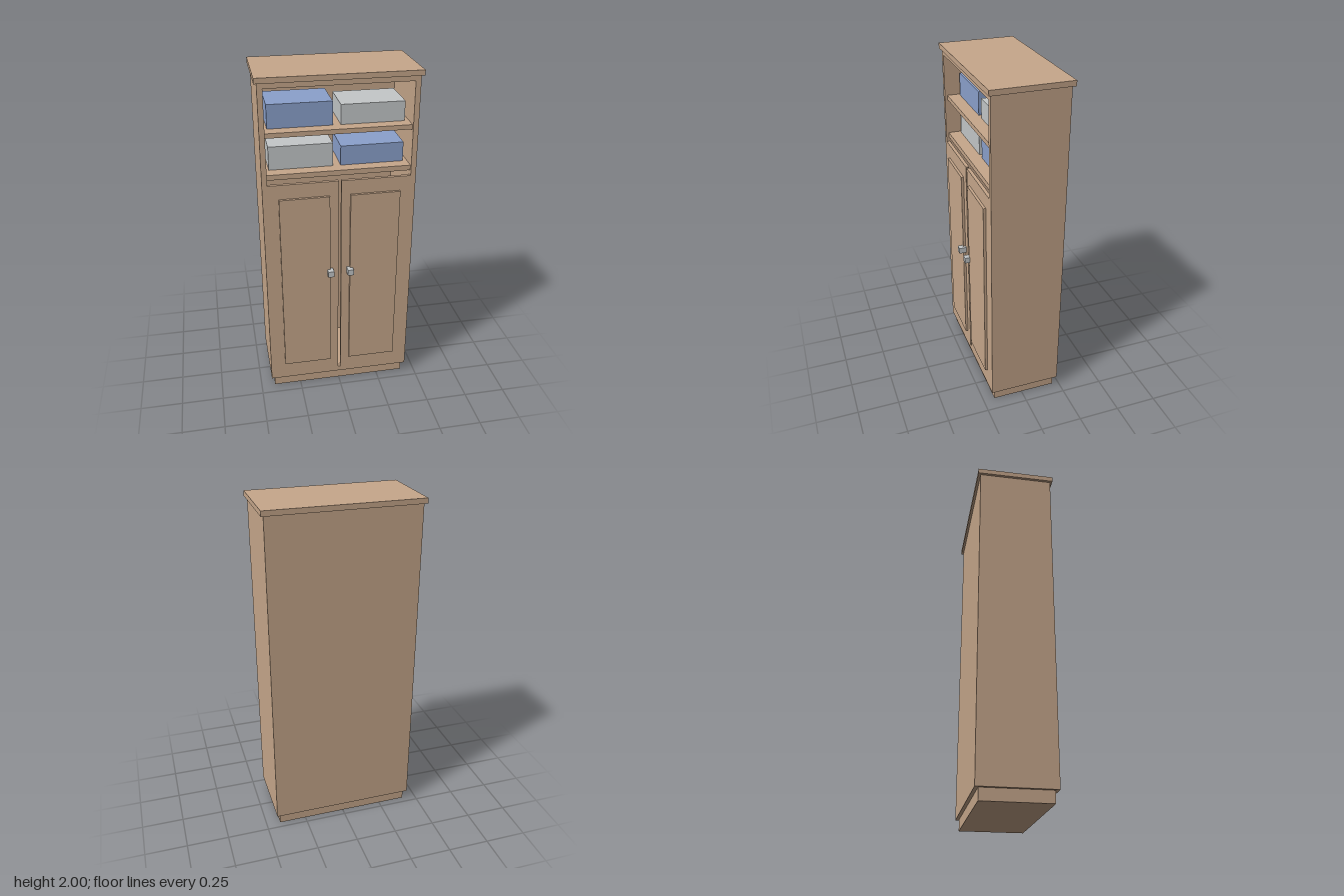
import * as THREE from 'three';

const mat = (name, color) => Object.assign(new THREE.MeshStandardMaterial({ color }), { name });

export function createModel() {
  const root = new THREE.Group();
  root.name = 'cabinet';
  const wood = mat('wood', 0xc6a78b);
  const blue = mat('blue box', 0x8ba1cc);
  const grey = mat('light grey', 0xc4c8c9);

  // Box given by its extents on each axis
  const box = (name, material, [x0, x1], [y0, y1], [z0, z1]) => {
    const mesh = new THREE.Mesh(new THREE.BoxGeometry(x1 - x0, y1 - y0, z1 - z0), material);
    mesh.position.set((x0 + x1) / 2, (y0 + y1) / 2, (z0 + z1) / 2);
    mesh.name = name;
    root.add(mesh);
  };
  const mirrored = (s, a, b) => (s > 0 ? [a, b] : [-b, -a]);

  // Hollow carcass
  const inner = [-0.405, 0.405];
  box('plinth', wood, [-0.415, 0.415], [0, 0.067], [-0.21, 0.18]);
  box('topBoard', wood, [-0.45, 0.45], [1.97, 2], [-0.245, 0.213]);
  box('backPanel', wood, inner, [0.1, 1.94], [-0.23, -0.21]);
  box('bottomPanel', wood, inner, [0.067, 0.1], [-0.23, 0.2]);
  box('topRail', wood, inner, [1.94, 1.97], [-0.23, 0.2]);

  // Shelves
  box('lowerShelf', wood, inner, [1.427, 1.457], [-0.21, 0.185]);
  box('upperShelf', wood, inner, [1.668, 1.695], [-0.21, 0.185]);

  // Sides, doors, raised panels and knobs, mirrored
  for (const [s, side] of [[1, 'left'], [-1, 'right']]) {
    box(side + 'Side', wood, mirrored(s, 0.405, 0.435), [0.067, 1.97], [-0.23, 0.2]);
    box(side + 'Door', wood, mirrored(s, 0.008, 0.405), [0.1, 1.4], [0.18, 0.2]);
    box(side + 'DoorPanel', wood, mirrored(s, 0.059, 0.346), [0.18, 1.314], [0.2, 0.215]);
    box(side + 'Knob', grey, mirrored(s, 0.041, 0.076), [0.806, 0.842], [0.2, 0.245]);
  }

  // Storage boxes
  const depth = [-0.14, 0.112];
  const storage = [
    ['upperRightBox', blue, -0.385, 1.695, 0.135],
    ['upperLeftBox', grey, 0.02, 1.695, 0.113],
    ['lowerRightBox', grey, -0.385, 1.457, 0.135],
    ['lowerLeftBox', blue, 0.02, 1.457, 0.113],
  ];
  for (const [name, material, x, y, h] of storage) {
    box(name, material, [x, x + 0.36], [y, y + h], depth);
  }
  return root;
}
